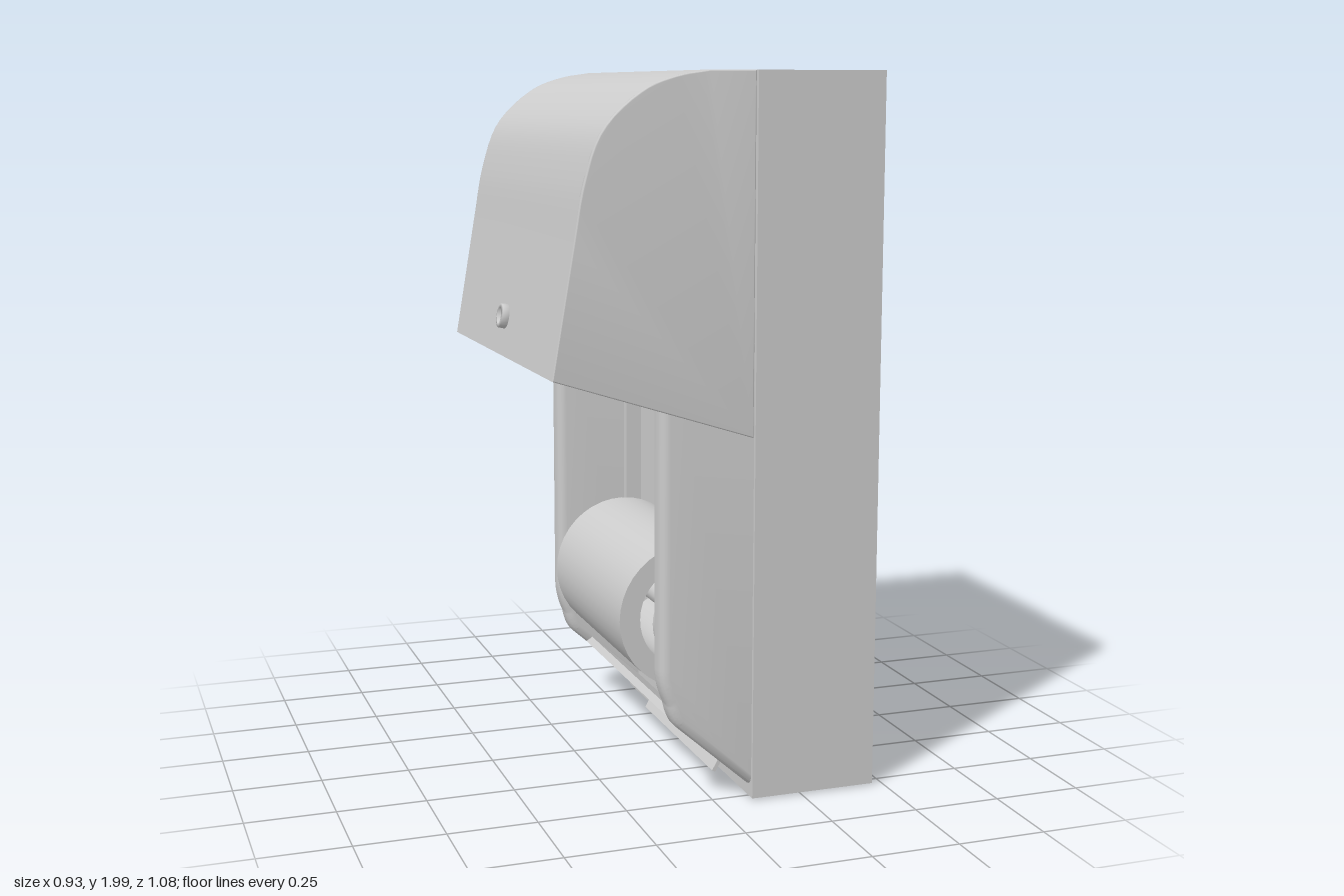
import * as THREE from 'three';
import { toCreasedNormals } from 'three/addons/utils/BufferGeometryUtils.js';

const material = new THREE.MeshStandardMaterial({ color: 0xcccccc, side: THREE.DoubleSide });

function add(parent, name, geometry, x = 0, y = 0, z = 0) {
  const mesh = new THREE.Mesh(geometry, material);
  mesh.name = name;
  mesh.position.set(x, y, z);
  parent.add(mesh);
  return mesh;
}

// Extrudes an x-y shape from z0 to z1; the bevel stays inside the outline.
function slab(shape, z0, z1, bevel = 0) {
  const g = new THREE.ExtrudeGeometry(shape, {
    depth: z1 - z0 - 2 * bevel, curveSegments: 20,
    bevelEnabled: bevel > 0, bevelSize: bevel, bevelThickness: bevel,
    bevelOffset: -bevel, bevelSegments: 4,
  });
  g.translate(0, 0, z0 + bevel);
  return toCreasedNormals(g, 0.6);
}

const polygon = (pts) => new THREE.Shape(pts.map(([x, y]) => new THREE.Vector2(x, y)));

// Curved front of the hood, from the bottom lip to the top seam, as [x, y]
function hoodCurve() {
  const bend = new THREE.CatmullRomCurve3([
    [-0.40, 1.56], [-0.37, 1.72], [-0.32, 1.85], [-0.21, 1.95], [-0.12, 1.985], [-0.03, 2],
  ].map(([x, y]) => new THREE.Vector3(x, y, 0))).getPoints(24).map((p) => [p.x, Math.min(p.y, 2)]);
  return [[-0.46, 1.21], ...bend, [0.098, 2]];
}

export function createModel() {
  const model = new THREE.Group();
  model.name = 'rollDispenser';

  // Main case
  add(model, 'case', new THREE.BoxGeometry(0.365, 1.985, 1.08), 0.2855, 1.0075, 0);

  // Hood: a thin curved shell, open underneath, closed by two cheeks
  const hood = new THREE.Group();
  hood.name = 'hood';
  model.add(hood);
  const outer = hoodCurve();
  const t = 0.022;
  const inner = outer.map(([x, y], i) => {
    const a = outer[Math.max(i - 1, 0)], b = outer[Math.min(i + 1, outer.length - 1)];
    const dx = b[0] - a[0], dy = b[1] - a[1], l = Math.hypot(dx, dy);
    return [x + (dy / l) * t, y - (dx / l) * t];
  });
  add(hood, 'hoodShell', slab(polygon([...outer, ...inner.reverse()]), -0.535, 0.535));
  const cheek = polygon([...outer, [0.098, 1.03]]);
  for (const s of [-1, 1]) {
    const z = s * 0.53;
    add(hood, 'hoodCheek', slab(cheek, z - 0.01, z + 0.01, 0.004));
  }

  // Lock on the sloping hood front
  const lock = new THREE.Group();
  lock.name = 'lock';
  lock.position.set(-0.45, 1.32, 0);
  lock.rotation.z = Math.PI / 2 - 0.17;
  model.add(lock);
  const rim = [[0.02, -0.02], [0.036, -0.02], [0.034, 0.01], [0.022, 0.012], [0.02, -0.004], [0, -0.004]];
  add(lock, 'lockRim', new THREE.LatheGeometry(rim.map(([x, y]) => new THREE.Vector2(x, y)), 20));
  add(lock, 'keySlot', new THREE.BoxGeometry(0.022, 0.008, 0.006));

  // Side walls with rounded front edges and a chamfered foot
  const wall = new THREE.Shape();
  wall.moveTo(0.1, 0.05);
  wall.lineTo(-0.11, 0.235);
  wall.quadraticCurveTo(-0.13, 0.255, -0.138, 0.3);
  wall.quadraticCurveTo(-0.16, 0.35, -0.16, 0.4);
  wall.lineTo(-0.16, 1.3);
  wall.lineTo(0.13, 1.3);
  wall.lineTo(0.13, 0.05);
  for (const s of [-1, 1]) {
    add(model, 'sideWall', slab(wall, s * 0.49 - 0.04, s * 0.49 + 0.04, 0.025));
  }

  // Sloping floor between the walls, with a small lip at its foot
  const floor = polygon([[0.1, 0.05], [-0.07, 0.2], [-0.055, 0.217], [0.1, 0.08]]);
  add(model, 'floor', slab(floor, -0.46, 0.46));
  const lip = polygon([[0.1, 0.06], [0.075, 0.015], [0.085, 0.01], [0.105, 0.045]]);
  add(model, 'lip', slab(lip, -0.3, 0.3));

  // Hollow roll on a spindle
  const ring = new THREE.Shape().absarc(0, 0, 0.21, 0, Math.PI * 2);
  ring.holes.push(new THREE.Path().absarc(0, 0, 0.15, 0, Math.PI * 2, true));
  add(model, 'roll', slab(ring, -0.31, 0.32), 0, 0.49, 0);
  const spindle = add(model, 'spindle', new THREE.CylinderGeometry(0.035, 0.035, 0.84, 16), 0, 0.49, 0);
  spindle.rotation.x = Math.PI / 2;

  // Holder arms reaching forward from the case, with round ends
  const arm = new THREE.Shape();
  arm.moveTo(0.11, 0.36);
  arm.lineTo(0, 0.36);
  arm.absarc(0, 0.49, 0.13, -Math.PI / 2, Math.PI / 2, true);
  arm.lineTo(0.11, 0.62);
  for (const s of [-1, 1]) {
    add(model, 'holderArm', slab(arm, s * 0.39 - 0.02, s * 0.39 + 0.02));
    // Guide strip on the back of the recess
    add(model, 'guideStrip', new THREE.BoxGeometry(0.05, 0.9, 0.03), 0.08, 0.75, s * 0.44);
  }
  return model;
}
